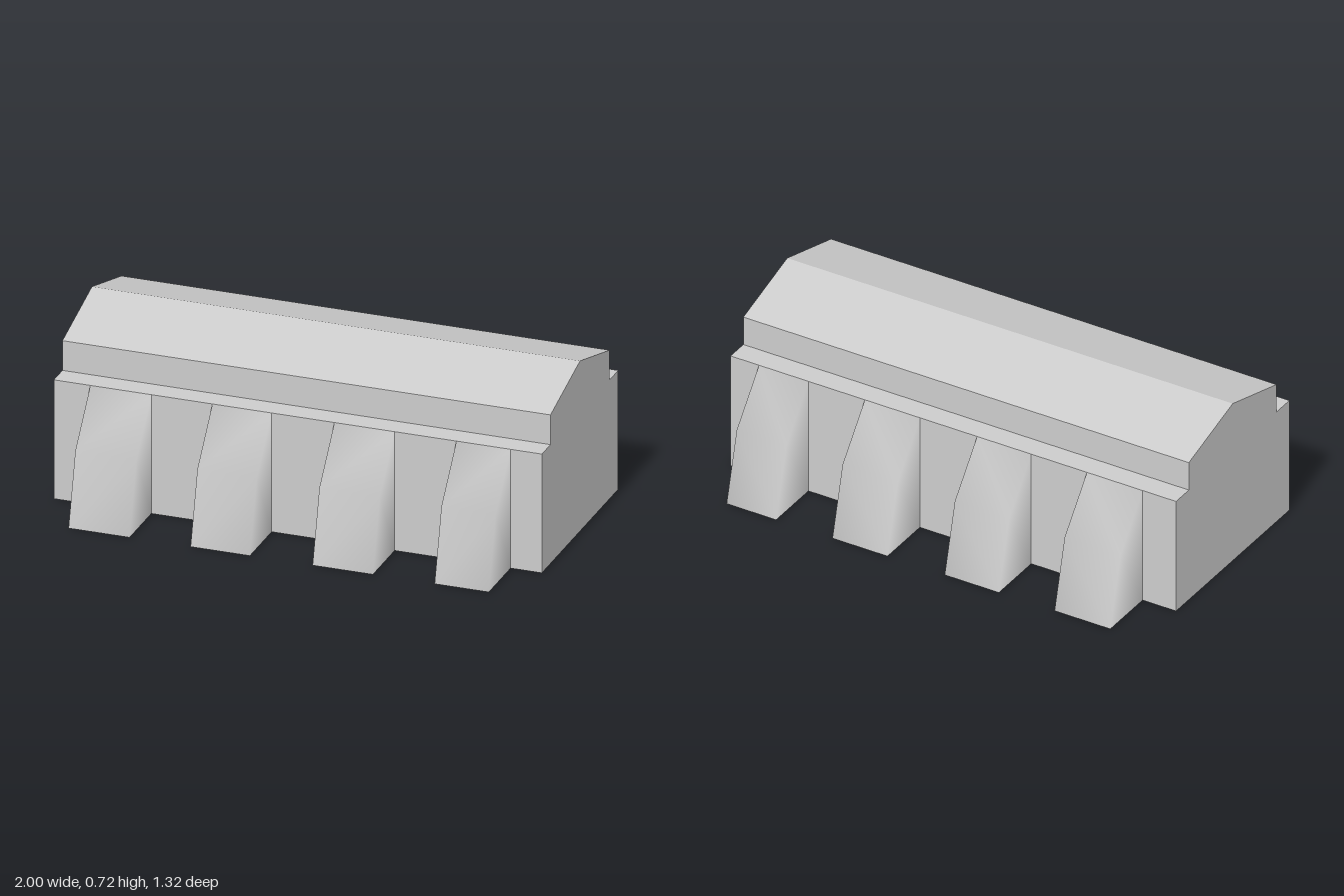
import * as THREE from 'three';

const stone = new THREE.MeshStandardMaterial({ color: 0xcccccc, side: THREE.DoubleSide });
stone.name = 'grey stone';

// x ranges of the buttresses, the same on both long sides
const BAYS = [[-0.85, -0.6], [-0.35, -0.107], [0.15, 0.397], [0.65, 0.872]];
const WALL_Z = 0.42, EAVE_Y = 0.5;

function addMesh(parent, name, geometry) {
  const mesh = new THREE.Mesh(geometry, stone);
  mesh.name = name;
  parent.add(mesh);
  return mesh;
}

// Flat strip from x0 to x1 between two (z, y) points; faces outward for paths running +z to -z
function strip(x0, x1, [za, ya], [zb, yb]) {
  const g = new THREE.BufferGeometry();
  g.setAttribute('position', new THREE.Float32BufferAttribute(
    [x0, ya, za, x1, ya, za, x1, yb, zb, x0, yb, zb], 3));
  g.setIndex([0, 1, 2, 0, 2, 3]);
  g.computeVertexNormals();
  return g;
}

// Hollow buttress, open below and towards the hall, softly shaded over shared corners
function buttress(x0, x1, side) {
  const profile = [[WALL_Z, 0], [0.66, 0], [0.585, 0.295], [WALL_Z, EAVE_Y]];
  const pos = [];
  for (const x of [x0, x1]) for (const [z, y] of profile) pos.push(x, y, z * side);
  const index = [
    1, 5, 6, 1, 6, 2, 2, 6, 7, 2, 7, 3, // outer slopes
    0, 1, 2, 0, 2, 3,                   // -x cheek
    4, 6, 5, 4, 7, 6,                   // +x cheek
  ];
  if (side < 0) index.reverse();
  const g = new THREE.BufferGeometry();
  g.setAttribute('position', new THREE.Float32BufferAttribute(pos, 3));
  g.setIndex(index);
  g.computeVertexNormals();
  return g;
}

export function createModel() {
  const model = new THREE.Group();
  model.name = 'buttressedHall';

  // Roof, upper band and ledges along the whole length
  const top = [[WALL_Z, EAVE_Y], [0.325, EAVE_Y], [0.325, 0.625], [0, 0.716],
    [-0.325, 0.625], [-0.325, EAVE_Y], [-WALL_Z, EAVE_Y]];
  const names = ['frontLedge', 'frontBand', 'frontRoof', 'backRoof', 'backBand', 'backLedge'];
  names.forEach((name, i) => addMesh(model, name, strip(-1, 1, top[i], top[i + 1])));

  // End walls
  const outline = [[WALL_Z, 0], ...top, [-WALL_Z, 0]];
  for (const side of [1, -1]) {
    const shape = new THREE.Shape(outline.map(([z, y]) => new THREE.Vector2(z, y)));
    const end = addMesh(model, side > 0 ? 'leftEndWall' : 'rightEndWall', new THREE.ShapeGeometry(shape));
    end.rotation.y = side * Math.PI / 2;
    end.position.x = side;
  }

  // Long walls, open behind each buttress
  const cuts = [-1, ...BAYS.flat(), 1];
  for (const side of [1, -1]) {
    const label = side > 0 ? 'front' : 'back';
    const low = [WALL_Z * side, 0], high = [WALL_Z * side, EAVE_Y];
    for (let i = 0; i < cuts.length; i += 2) {
      const path = side > 0 ? [low, high] : [high, low];
      addMesh(model, label + 'Wall', strip(cuts[i], cuts[i + 1], ...path));
    }
    for (const [x0, x1] of BAYS) addMesh(model, label + 'Buttress', buttress(x0, x1, side));
  }
  return model;
}
